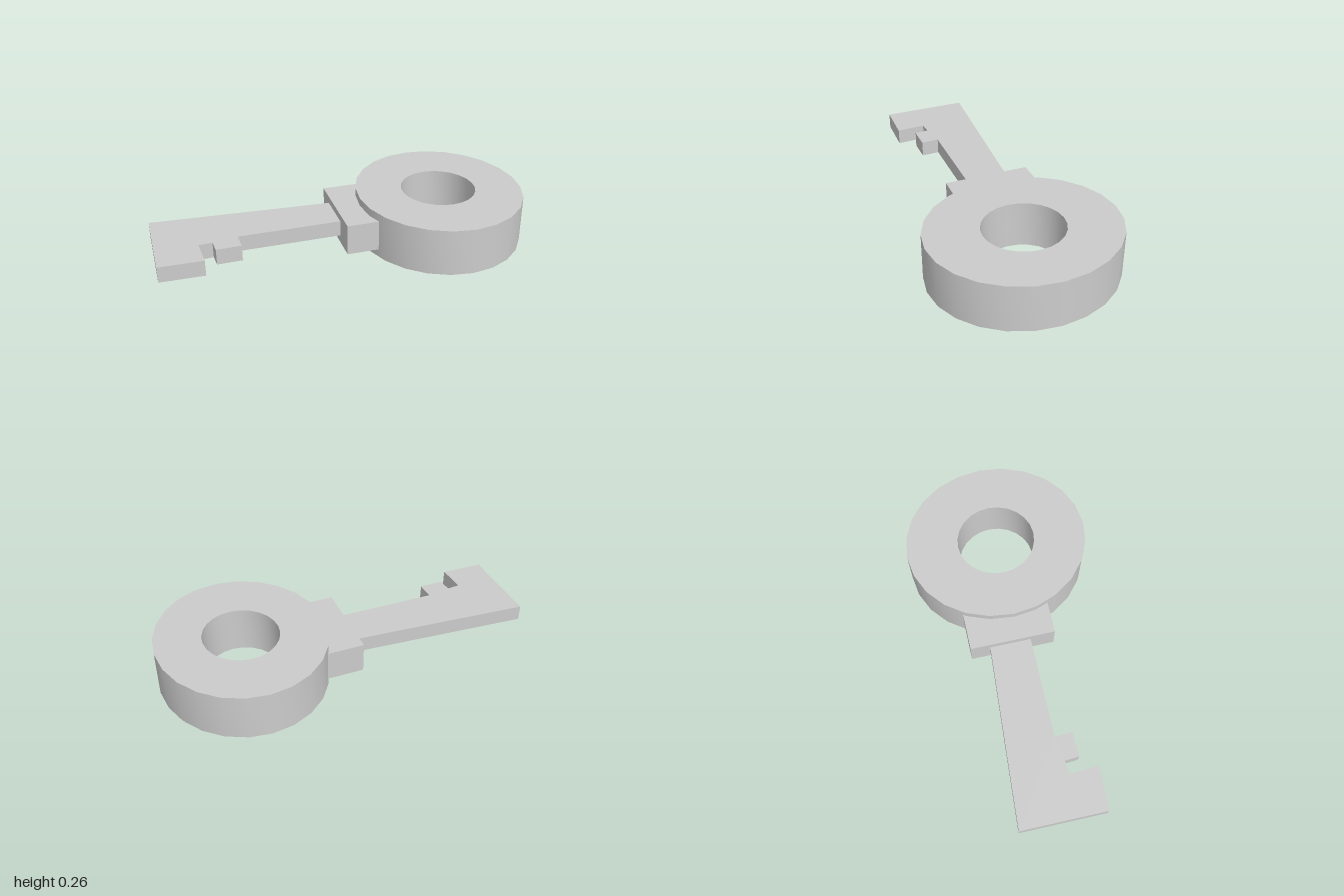
import * as THREE from 'three';
import { toCreasedNormals } from 'three/addons/utils/BufferGeometryUtils.js';

const material = new THREE.MeshStandardMaterial({ color: 0xcccccc });
const TWIST = 0.066; // bow and collar are turned slightly against the blade

// Extrudes an outline lying in the ground plane upwards from y = 0
function slab(shape, height) {
  const geometry = new THREE.ExtrudeGeometry(shape, {
    depth: height, bevelEnabled: false, curveSegments: 12,
  });
  geometry.rotateX(-Math.PI / 2);
  return toCreasedNormals(geometry, 0.6);
}

function addPart(group, name, geometry, x, y, z, turn = 0) {
  const mesh = new THREE.Mesh(geometry, material);
  mesh.name = name;
  mesh.position.set(x, y, z);
  mesh.rotation.y = turn;
  group.add(mesh);
}

export function createModel() {
  const key = new THREE.Group();
  key.name = 'key';

  // Bow: thick oval ring with an oval hole
  const ring = new THREE.Shape();
  ring.absellipse(0, 0, 0.445, 0.492, 0, Math.PI * 2);
  const hole = new THREE.Path();
  hole.absellipse(0, 0, 0.2, 0.21, 0, Math.PI * 2);
  ring.holes.push(hole);
  addPart(key, 'bow', slab(ring, 0.252), 0.55, 0, -0.003, TWIST);

  // Collar: block joining the bow and the blade
  addPart(key, 'collar', new THREE.BoxGeometry(0.26, 0.165, 0.456), 0.105, 0.126, -0.006, TWIST);

  // Blade with its two teeth, outline as [x, z]
  const outline = [
    [-1, -0.12], [0.05, -0.12], [0.05, 0.095], [-0.56, 0.135], [-0.55, 0.23],
    [-0.68, 0.24], [-0.69, 0.165], [-0.76, 0.175], [-0.74, 0.33], [-0.97, 0.34],
  ];
  const blade = new THREE.Shape(outline.map(([x, z]) => new THREE.Vector2(x, -z)));
  addPart(key, 'blade', slab(blade, 0.085), 0, 0.085, 0);

  // The whole key rests with a slight tilt
  key.rotation.z = 0.0095;
  key.position.y = -0.001;

  const model = new THREE.Group();
  model.add(key);
  return model;
}
